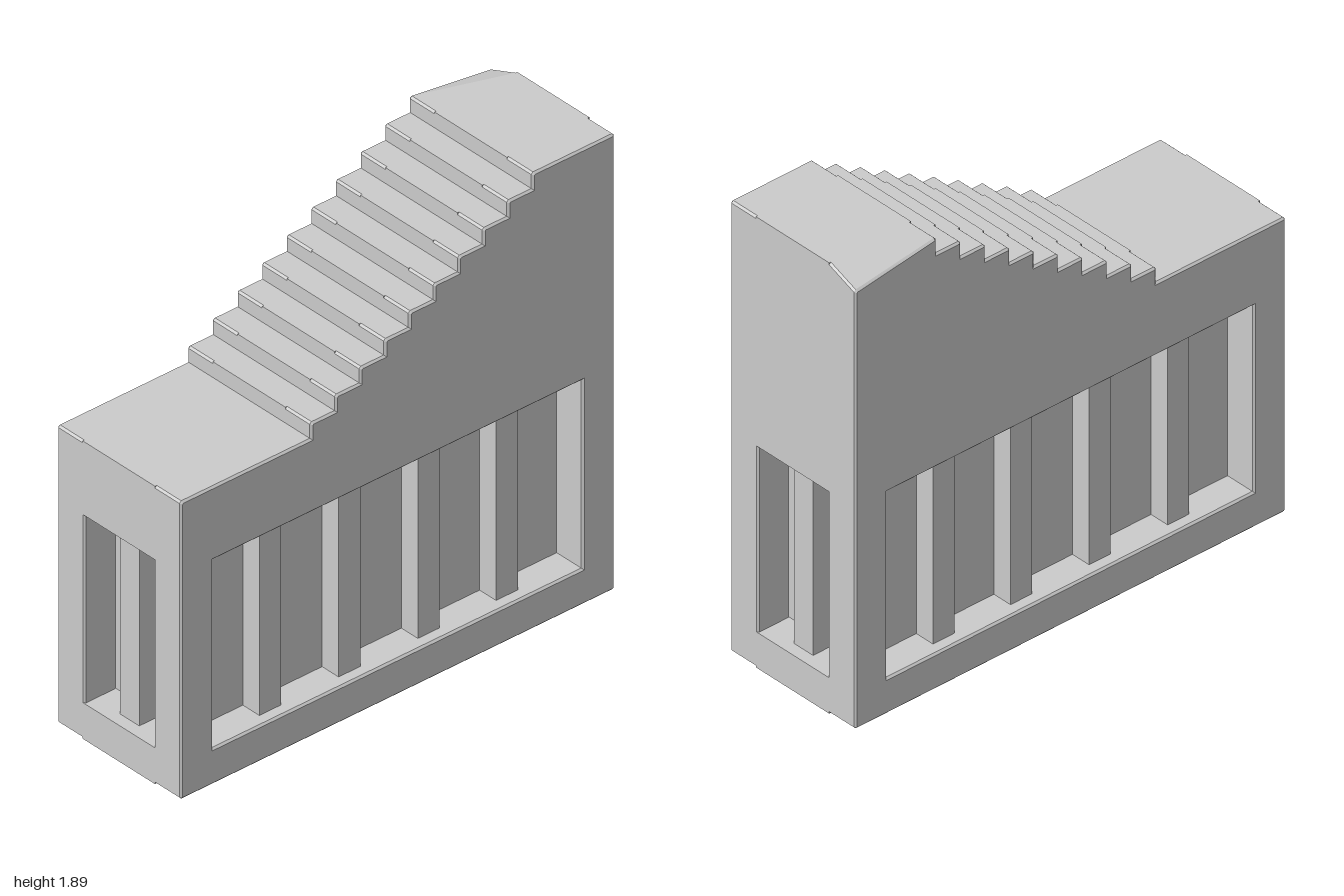
import * as THREE from 'three';

const W = 0.325, H = 1.89, DECK = 1.235;      // half width, full height, low deck height
const WALL = 0.145, BEVEL = 0.008;            // side wall thickness, edge bevel
const Y0 = 0.15, Y1 = 0.93, ZP = 0.85;        // recess bottom, top and half length
const STEPS = 10, RISE = (H - DECK) / STEPS, RUN = 1.02 / (STEPS - 1);
const RIB = 0.1, RIB_INSET = 0.05;

const material = new THREE.MeshStandardMaterial({ color: 0xcccccc, flatShading: true });

// Top line of the stairs as (z, y) points, from the front edge to the back edge
function stairLine() {
  const pts = [[1, DECK]];
  for (let i = 0; i < STEPS; i++) {
    const z = 0.4 - i * RUN;
    pts.push([z, DECK + i * RISE], [z, DECK + (i + 1) * RISE]);
  }
  pts.push([-1, H]);
  return pts;
}

// Cut small chamfers on the outward corners of a counter-clockwise outline
function chamfer(points, size) {
  const v = points.map(p => new THREE.Vector2(...p));
  return v.flatMap((p, i) => {
    const a = p.clone().sub(v[(i + v.length - 1) % v.length]).normalize();
    const b = v[(i + 1) % v.length].clone().sub(p).normalize();
    if (a.cross(b) <= 0) return [p];
    return [p.clone().addScaledVector(a, -size), p.clone().addScaledVector(b, size)];
  });
}

// Extrude a (z, y) shape along x, from x0 to x0 + thickness
function extrudeX(shape, x0, thickness, bevel) {
  const depth = thickness - 2 * bevel;
  const geo = new THREE.ExtrudeGeometry(shape, {
    depth, bevelEnabled: bevel > 0, bevelThickness: bevel,
    bevelSize: bevel, bevelOffset: -bevel, bevelSegments: 1,
  });
  geo.rotateY(-Math.PI / 2);
  geo.translate(x0 + depth + bevel, 0, 0);
  return geo;
}

export function createModel() {
  const group = new THREE.Group();
  const add = (geo, name) => {
    const mesh = new THREE.Mesh(geo, material);
    mesh.name = name;
    group.add(mesh);
    return mesh;
  };
  const addBox = (name, sx, sz, x, z) =>
    add(new THREE.BoxGeometry(sx, Y1 - Y0, sz), name).position.set(x, (Y0 + Y1) / 2, z);

  // Side walls: stepped outline with a long rectangular opening
  const outline = chamfer([[-1, 0], [1, 0], ...stairLine()], 0.008);
  const wallShape = new THREE.Shape(outline);
  wallShape.holes.push(new THREE.Path(
    [[-ZP, Y0], [-ZP, Y1], [ZP, Y1], [ZP, Y0]].map(p => new THREE.Vector2(...p))));
  add(extrudeX(wallShape, W - WALL, WALL, BEVEL), 'leftWall');

  // The right wall has its top back corner sagging slightly
  const rightGeo = extrudeX(wallShape, -W, WALL, BEVEL);
  const pos = rightGeo.attributes.position;
  for (let i = 0; i < pos.count; i++) {
    if (pos.getX(i) < -0.3 && pos.getY(i) > 1.87 && pos.getZ(i) < -0.97) {
      pos.setY(i, pos.getY(i) - 0.05);
    }
  }
  rightGeo.computeVertexNormals();
  add(rightGeo, 'rightWall');

  // Core: same stairs, notched at both ends to form the end recesses
  const coreShape = new THREE.Shape([
    [-1, 0], [1, 0], [1, Y0], [ZP + 0.005, Y0], [ZP + 0.005, Y1], [1, Y1],
    ...stairLine(),
    [-1, Y1], [-ZP - 0.005, Y1], [-ZP - 0.005, Y0], [-1, Y0],
  ].map(p => new THREE.Vector2(...p)));
  const coreHalf = W - WALL + 0.009;
  add(extrudeX(coreShape, -coreHalf, 2 * coreHalf, 0), 'stairCore');

  // Upright ribs inside the recesses
  const sideDepth = W - RIB_INSET - coreHalf + 0.01;
  const endDepth = 1 - RIB_INSET - ZP + 0.01;
  for (const s of [1, -1]) {
    for (const z of [0.545, 0.18, -0.185, -0.545]) {
      addBox('sideRib', sideDepth, RIB, s * (W - RIB_INSET - sideDepth / 2), z);
    }
    addBox(s > 0 ? 'frontRib' : 'backRib', RIB, endDepth, 0, s * (1 - RIB_INSET - endDepth / 2));
  }
  return group;
}
